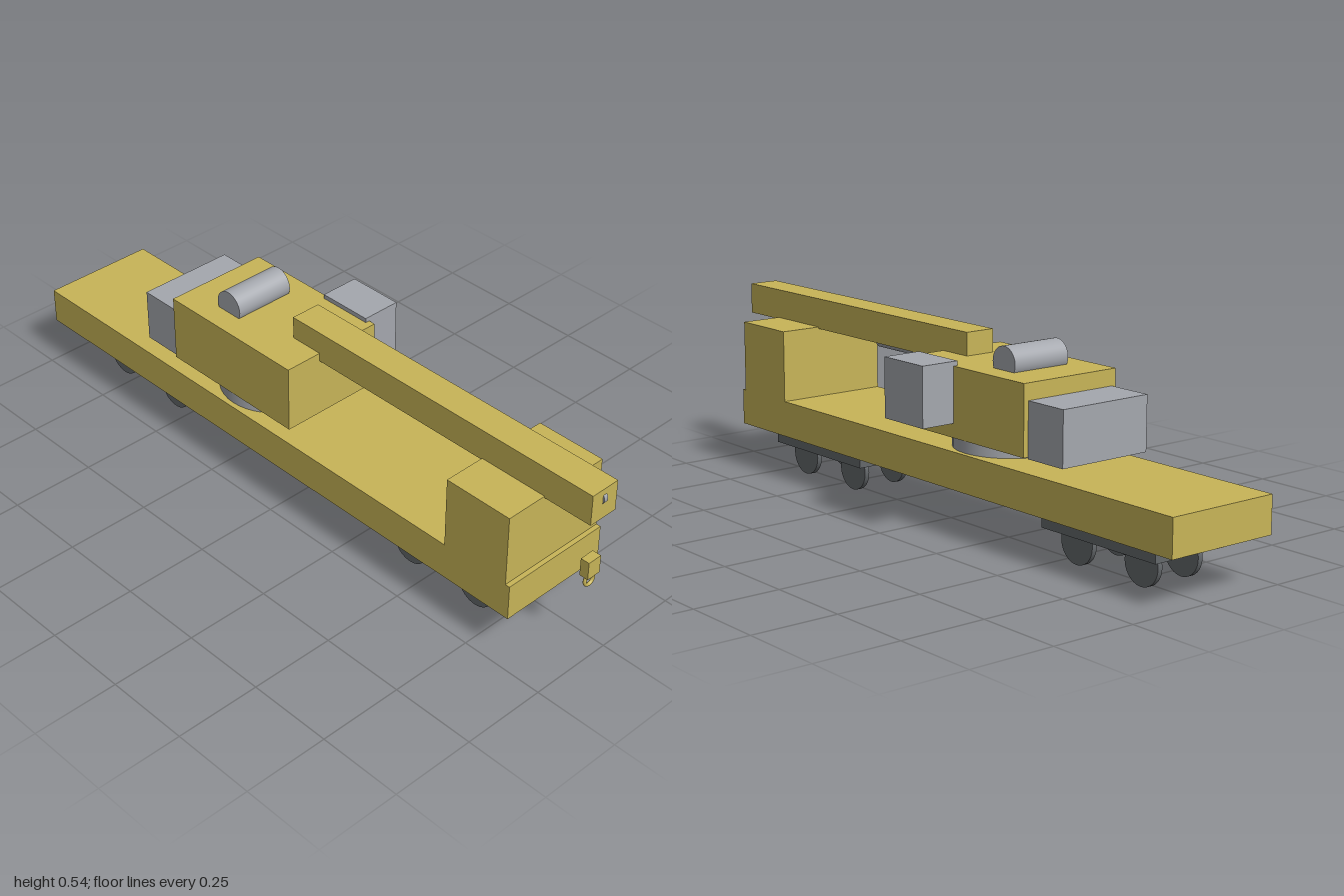
import * as THREE from 'three';

const mat = (name, color) => {
  const m = new THREE.MeshStandardMaterial({ color });
  m.name = name;
  return m;
};

export function createModel() {
  const yellow = mat('craneYellow', 0xc8b558);
  const grey = mat('machineGrey', 0xa5a8ae);
  const dark = mat('runningGearGrey', 0x64686b);
  const root = new THREE.Group();
  root.name = 'railCrane';
  const CX = -0.047; // centre line of the wagon

  const add = (name, geometry, material, x, y, z) => {
    const mesh = new THREE.Mesh(geometry, material);
    mesh.name = name;
    mesh.position.set(x, y, z);
    root.add(mesh);
    return mesh;
  };
  // Box given by its limits on each axis
  const box = (name, material, [x0, x1], [y0, y1], [z0, z1]) =>
    add(name, new THREE.BoxGeometry(x1 - x0, y1 - y0, z1 - z0), material,
      (x0 + x1) / 2, (y0 + y1) / 2, (z0 + z1) / 2);
  // Cylinder lying along the given axis
  const cylinder = (name, material, radius, length, axis, x, y, z) => {
    const g = new THREE.CylinderGeometry(radius, radius, length, 40);
    if (axis === 'x') g.rotateZ(Math.PI / 2);
    if (axis === 'z') g.rotateX(Math.PI / 2);
    return add(name, g, material, x, y, z);
  };

  // Wagon deck and boom rest
  box('deck', yellow, [-0.22, 0.125], [0.135, 0.241], [-1, 0.86]);
  box('boomRest', yellow, [-0.22, 0.125], [0.241, 0.452], [0.635, 0.846]);

  // Two bogies with four wheels each
  for (const z of [0.543, -0.678]) {
    box('bogieFrame', dark, [-0.167, 0.072], [0.088, 0.135], [z - 0.212, z + 0.212]);
    for (const dz of [-0.12, 0.12])
      for (const dx of [-0.0705, 0.0705])
        cylinder('wheel', dark, 0.06, 0.015, 'x', CX + dx, 0.06, z + dz);
  }

  // Slewing upper works
  cylinder('turntable', grey, 0.158, 0.035, 'y', CX, 0.258, -0.198);
  box('machineryHouse', yellow, [-0.207, 0.113], [0.275, 0.472], [-0.44, 0.036]);
  box('counterweight', grey, [-0.195, 0.098], [0.27, 0.425], [-0.575, -0.44]);
  box('cab', grey, [0.1, 0.218], [0.315, 0.485], [-0.152, 0.015]);
  cylinder('winchDrum', grey, 0.046, 0.186, 'x', CX, 0.492, -0.28);

  // Boom, lifting ram and tip sheave
  box('boom', yellow, [-0.093, -0.001], [0.447, 0.538], [-0.068, 0.995]);
  cylinder('liftingRam', grey, 0.018, 0.4, 'z', CX, 0.443, 0.185);
  cylinder('tipSheave', grey, 0.02, 0.013, 'x', CX, 0.506, 0.98);

  // Hook block and hook ring
  box('hookBlock', yellow, [-0.07, -0.025], [0.253, 0.307], [0.957, 0.984]);
  add('hookRing', new THREE.TorusGeometry(0.016, 0.005, 12, 32), yellow, CX, 0.234, 0.97);

  return root;
}
